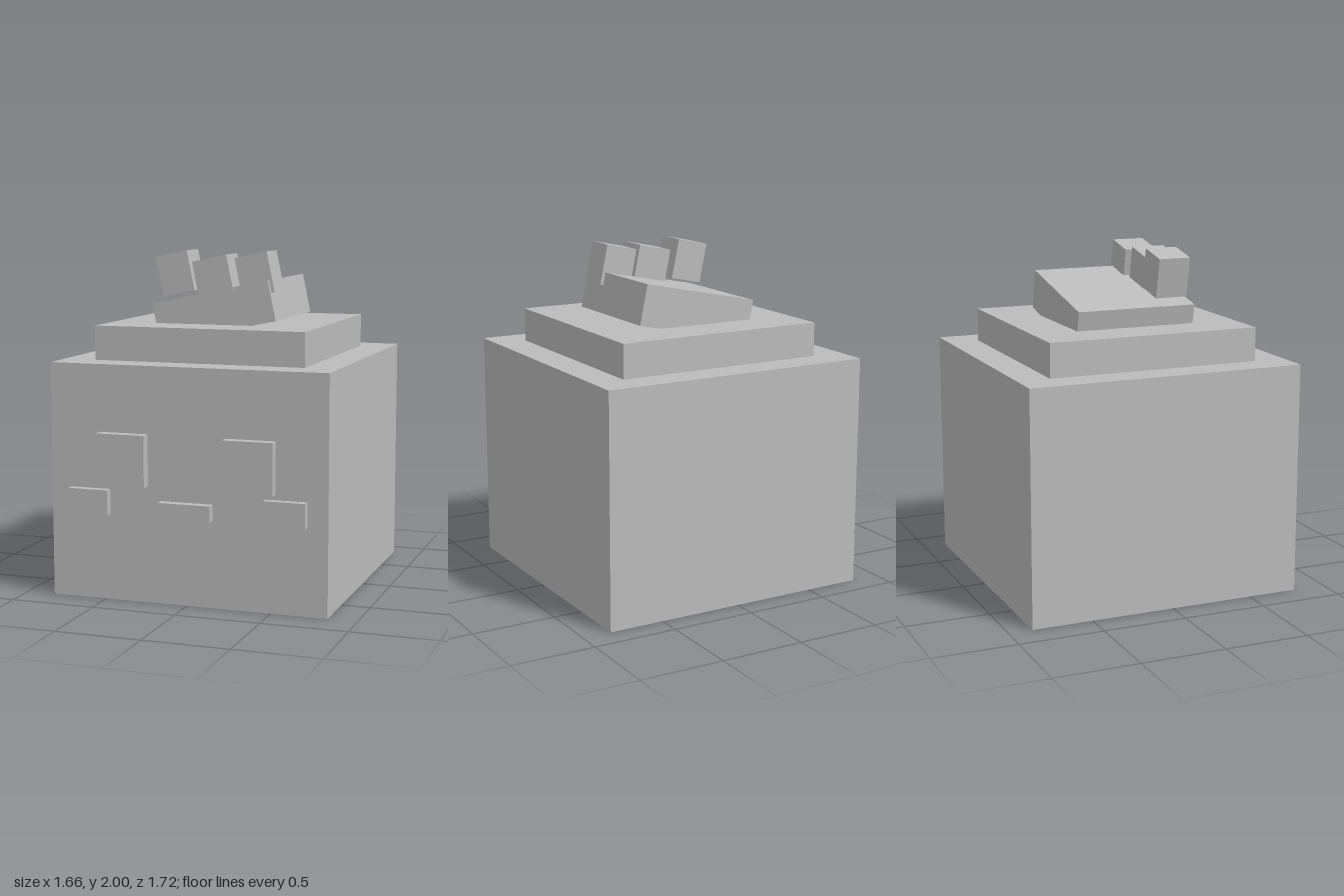
import * as THREE from 'three';

export function createModel() {
  const model = new THREE.Group();
  const grey = new THREE.MeshStandardMaterial({ color: 0xbbbbbb });
  grey.name = 'grey';

  // Box given by its size and centre, optionally tilted about z
  function block(name, [w, h, d], [x, y, z], tilt = 0, parent = model) {
    const mesh = new THREE.Mesh(new THREE.BoxGeometry(w, h, d), grey);
    mesh.name = name;
    mesh.position.set(x, y, z);
    mesh.rotation.z = tilt;
    parent.add(mesh);
    return mesh;
  }

  // Body and the smaller step on top
  block('body', [1.66, 1.37, 1.66], [0, 0.685, -0.03]);
  block('topStep', [1.27, 0.2, 1.275], [0, 1.47, -0.03]);

  // Tilted cap with three small blocks along its front edge
  const tilt = THREE.MathUtils.degToRad(11.9);
  block('cap', [0.73, 0.24, 0.73], [-0.0025, 1.6425, -0.03], tilt);
  block('rightCapBlock', [0.2, 0.24, 0.195], [-0.249, 1.862, 0.2125], tilt);
  block('middleCapBlock', [0.215, 0.22, 0.205], [-0.0025, 1.85, 0.2425], tilt);
  block('leftCapBlock', [0.2, 0.24, 0.195], [0.242, 1.862, 0.2125], tilt);

  // Face pieces, set slightly into the front of the body
  const face = new THREE.Group();
  face.name = 'face';
  model.add(face);
  for (const [side, s] of [['left', 1], ['right', -1]]) {
    block(side + 'Eye', [0.292, 0.3, 0.08], [s * 0.38, 0.83, 0.822], 0, face);
    block(side + 'Cheek', [0.243, 0.145, 0.08], [s * 0.588, 0.5775, 0.807], 0, face);
  }
  block('mouth', [0.314, 0.095, 0.08], [0, 0.5525, 0.815], 0, face);

  return model;
}
